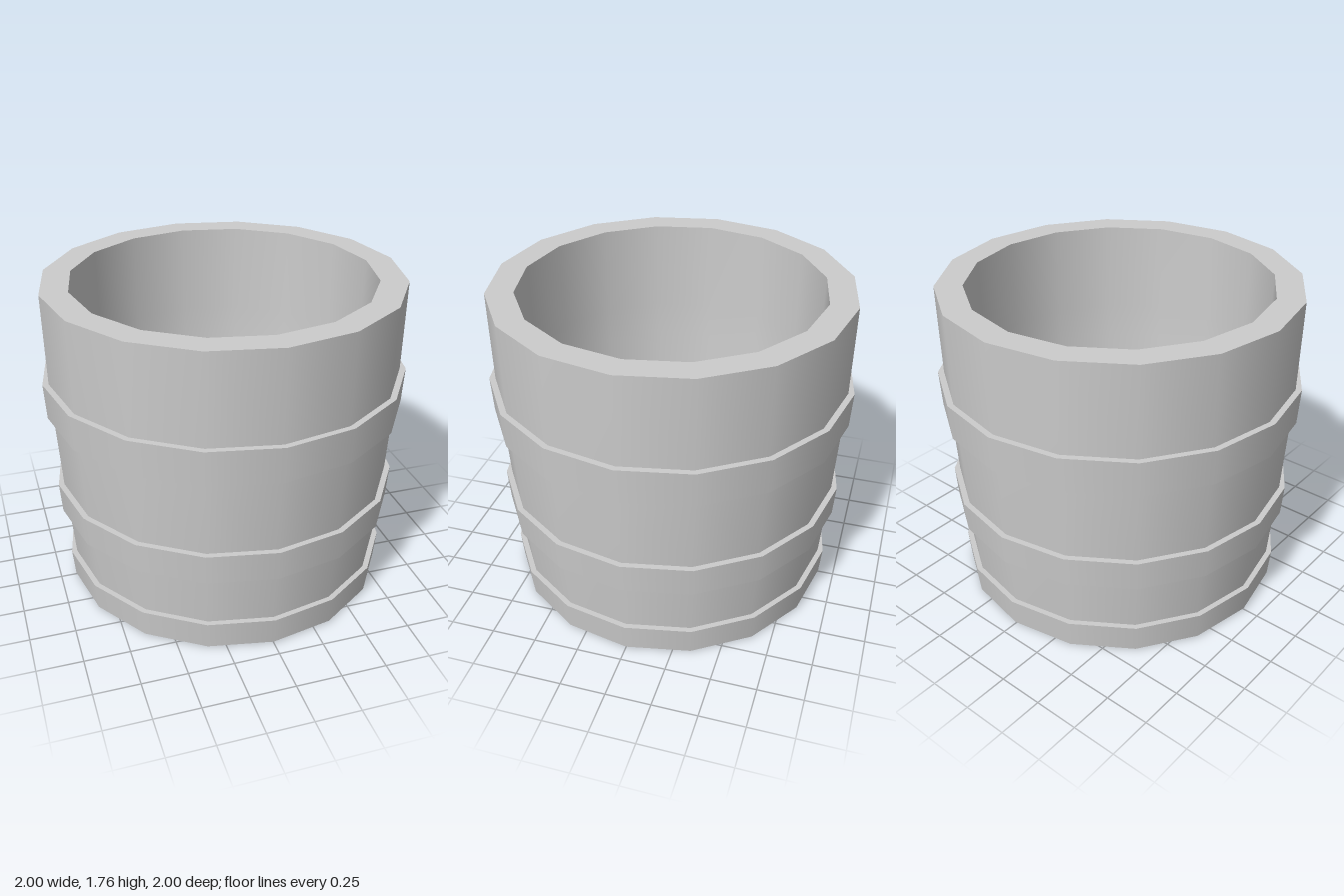
import * as THREE from 'three';
import { mergeGeometries } from 'three/addons/utils/BufferGeometryUtils.js';

const SIDES = 16;
const material = new THREE.MeshStandardMaterial({ color: 0xcccccc });

// Revolves each profile run separately: smooth around, sharp between runs.
function turned(name, runs) {
  const parts = runs.map(run =>
    new THREE.LatheGeometry(run.map(([r, y]) => new THREE.Vector2(r, y)), SIDES));
  const mesh = new THREE.Mesh(mergeGeometries(parts), material);
  mesh.name = name;
  return mesh;
}

export function createModel() {
  const group = new THREE.Group();
  group.name = 'bucket';

  // Thick tapered wall, with rim, hollow inside and floor
  const wall = [[0.88, 0], [0.896, 0.17], [0.919, 0.46], [0.933, 0.63],
    [0.958, 1.06], [0.967, 1.26], [0.975, 1.76]];
  group.add(turned('tub', [
    [[0, 0], [0.88, 0]],
    wall,
    [[0.975, 1.76], [0.825, 1.76]],
    [[0.825, 1.76], [0.817, 1.26], [0.808, 1.06], [0.783, 0.63], [0.75, 0.2]],
    [[0.75, 0.2], [0, 0.2]],
  ]));

  // Hoops: bottom height, top height, bottom radius, top radius, inner radii
  const hoops = [
    ['bottomHoop', 0.008, 0.165, 0.912, 0.926, 0.875, 0.89],
    ['middleHoop', 0.46, 0.632, 0.953, 0.965, 0.91, 0.925],
    ['topHoop', 1.06, 1.26, 0.989, 1.0, 0.95, 0.96],
  ];
  for (const [name, y0, y1, r0, r1, i0, i1] of hoops) {
    group.add(turned(name, [
      [[i0, y0], [r0, y0]],
      [[r0, y0], [r1, y1]],
      [[r1, y1], [i1, y1]],
    ]));
  }
  return group;
}
